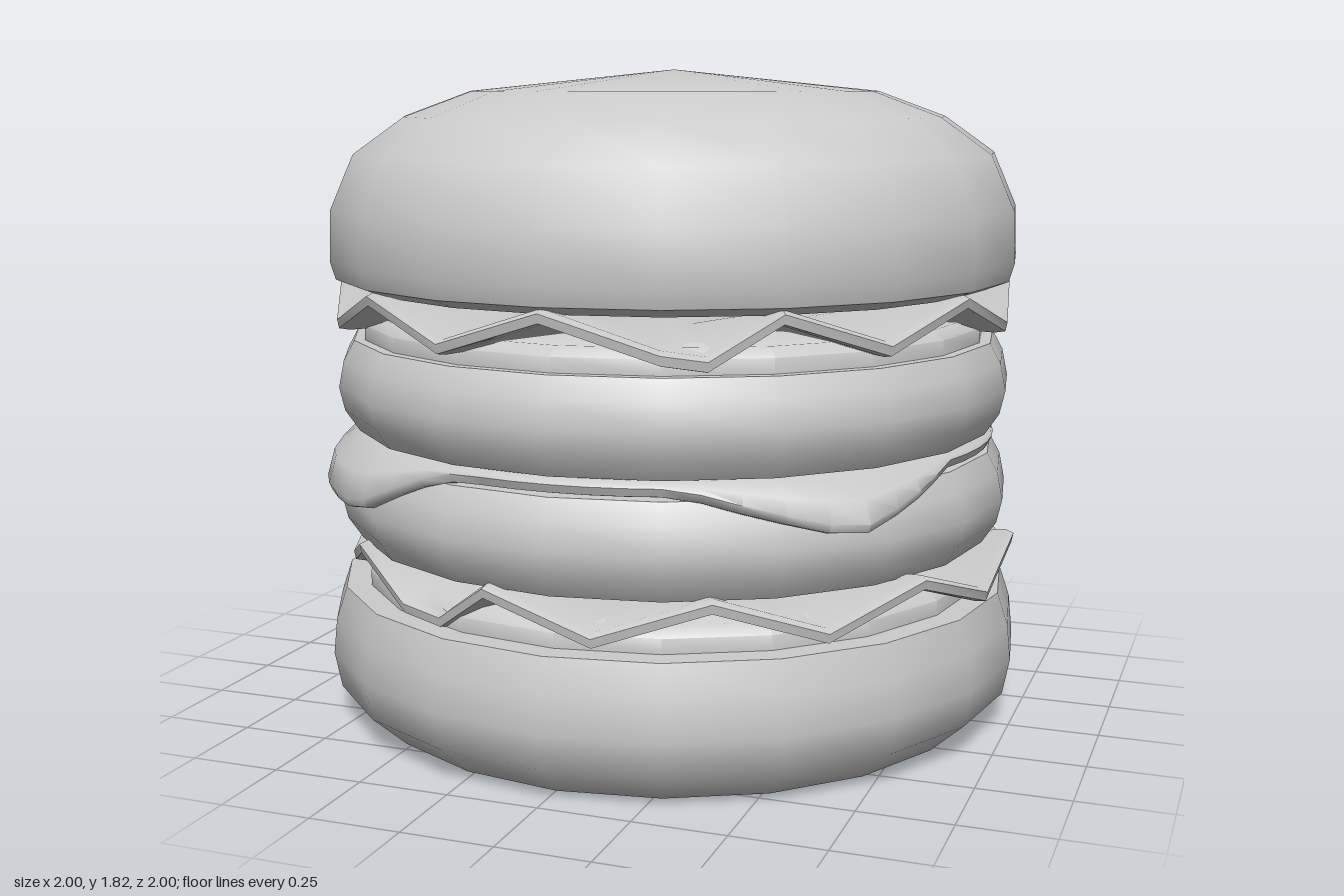
import * as THREE from 'three';
import { toCreasedNormals } from 'three/addons/utils/BufferGeometryUtils.js';

const rad = THREE.MathUtils.degToRad;

function addMesh(parent, name, geometry, crease) {
  const material = new THREE.MeshStandardMaterial({ color: 0xcccccc });
  const mesh = new THREE.Mesh(toCreasedNormals(geometry, rad(crease)), material);
  mesh.name = name;
  parent.add(mesh);
  return mesh;
}

// Round layer with 20 sides, profile runs from the bottom centre to the top centre
function addRound(parent, name, profile) {
  const points = profile.map(([r, y]) => new THREE.Vector2(r, y));
  return addMesh(parent, name, new THREE.LatheGeometry(points, 20), 50);
}

// Closed wavy layer: one [radius, height] profile per angle, joined around y
function loft(angles, profileAt) {
  const positions = [];
  const index = [];
  const n = angles.length;
  let m = 0;
  angles.forEach((deg, i) => {
    const profile = profileAt(deg, i);
    m = profile.length;
    const a = rad(deg);
    for (const [r, y] of profile) positions.push(r * Math.sin(a), y, r * Math.cos(a));
  });
  for (let i = 0; i < n; i++) {
    const k = (i + 1) % n;
    for (let j = 0; j < m - 1; j++) {
      const a = i * m + j, b = k * m + j;
      index.push(a, b, a + 1, b, b + 1, a + 1);
    }
  }
  const geometry = new THREE.BufferGeometry();
  geometry.setAttribute('position', new THREE.Float32BufferAttribute(positions, 3));
  geometry.setIndex(index);
  return geometry;
}

// Zigzag leaf: ridges and valleys alternate every 18 degrees, one valley is stretched
function lettuceGeometry() {
  const angles = [];
  for (let i = 0; i < 20; i++) {
    angles.push(i * 18);
    if (i === 1) angles.push(25);
  }
  return loft(angles, (deg) => {
    const ridge = deg % 36 === 0;
    const y = ridge ? 1.225 : deg === 25 ? 1.11 : 1.13;
    const r = deg === 25 ? 0.93 : 0.96;
    const inner = ridge ? 1.17 : 1.145;
    return [
      [0, 1.135], [0.55, inner - 0.02], [r - 0.03, y - 0.02], [r, y - 0.015],
      [r + 0.005, y + 0.01], [r - 0.02, y + 0.02], [0.55, inner + 0.02], [0, 1.16],
    ];
  });
}

// Cheese corners: direction, drop, half width, and roundness of the hanging flap
const corners = [
  { at: 46, drop: 0.1, width: 25, pointed: true },
  { at: 138, drop: 0.18, width: 32 },
  { at: 225, drop: 0.05, width: 28 },
  { at: 311, drop: 0.125, width: 34 },
];

function cheeseGeometry() {
  const angles = Array.from({ length: 60 }, (_, i) => i * 6);
  return loft(angles, (deg) => {
    let drop = 0;
    let reach = 0;
    for (const c of corners) {
      const t = Math.max(0, 1 - Math.abs(deg - c.at) / c.width);
      const s = c.pointed ? t : Math.min(1, t * t * (3 - 2 * t) * 1.3);
      drop += c.drop * s;
      reach += (c.pointed ? 0.115 : 0.08) * s;
    }
    const r = 0.91 + reach;
    const y = 0.795 - drop;
    return [
      [0, 0.775], [0.86, 0.775], [0.89 + reach * 0.7, 0.78 - drop * 0.55],
      [r - 0.02, y - 0.015], [r, y - 0.01], [r + 0.01, y + 0.012],
      [0.915 + reach * 0.8, 0.815 - drop * 0.45], [0.88, 0.825], [0, 0.825],
    ];
  });
}

export function createModel() {
  const burger = new THREE.Group();
  burger.name = 'burger';

  // Buns
  addRound(burger, 'bottomBun', [
    [0, 0], [0.88, 0], [0.98, 0.09], [1, 0.19], [0.99, 0.29], [0.96, 0.38], [0, 0.38],
  ]);
  addRound(burger, 'topBun', [
    [0, 1.22], [0.9, 1.225], [0.965, 1.25], [0.98, 1.3], [0.975, 1.44],
    [0.91, 1.59], [0.77, 1.69], [0.58, 1.76], [0, 1.82],
  ]);

  // Patties
  for (const [name, y] of [['lowerPatty', 0.52], ['upperPatty', 0.825]]) {
    addRound(burger, name, [
      [0, 0], [0.91, 0], [0.95, 0.06], [0.965, 0.125], [0.95, 0.2], [0.92, 0.255], [0, 0.255],
    ]).position.y = y;
  }

  // Thin slices under the lettuce
  for (const [name, y] of [['lowerSlice', 0.38], ['upperSlice', 1.08]]) {
    addRound(burger, name, [
      [0, 0], [0.89, 0], [0.89, 0.04], [0.86, 0.065], [0, 0.065],
    ]).position.y = y;
  }

  // Lettuce leaves
  addMesh(burger, 'upperLettuce', lettuceGeometry(), 50);
  const lower = addMesh(burger, 'lowerLettuce', lettuceGeometry(), 50);
  lower.rotation.y = rad(-48);
  lower.position.set(0.02, -0.71, -0.02);

  // Cheese slice
  addMesh(burger, 'cheese', cheeseGeometry(), 50);

  return burger;
}
